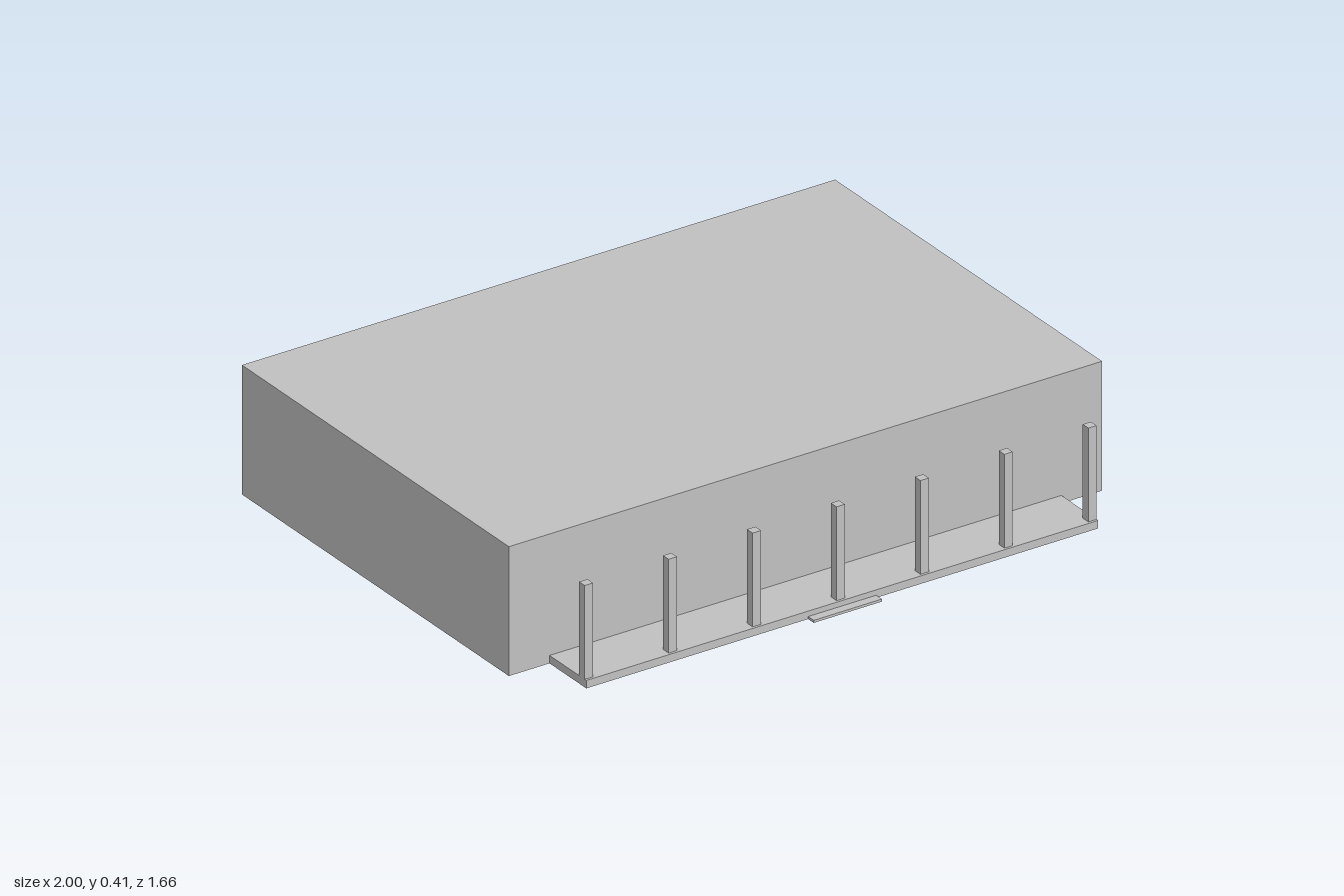
import * as THREE from 'three';

export function createModel() {
  const model = new THREE.Group();
  model.name = 'porchBuilding';
  const grey = new THREE.MeshStandardMaterial({ color: 0xc0c0c0 });
  grey.name = 'light grey';

  // Box given by its limits along each axis
  function block(name, [x0, x1], [y0, y1], [z0, z1]) {
    const mesh = new THREE.Mesh(new THREE.BoxGeometry(x1 - x0, y1 - y0, z1 - z0), grey);
    mesh.position.set((x0 + x1) / 2, (y0 + y1) / 2, (z0 + z1) / 2);
    mesh.name = name;
    model.add(mesh);
  }

  // Main hall
  block('hall', [-1, 1], [0, 0.407], [-0.708, 0.62]);

  // Front porch with a low step
  block('porchFloor', [-0.863, 0.863], [0, 0.025], [0.62, 0.803]);
  block('frontStep', [-0.115, 0.115], [0, 0.008], [0.803, 0.831]);

  // Row of square porch posts
  for (let i = -3; i <= 3; i++) {
    const x = i * 0.283;
    block('porchPost', [x - 0.014, x + 0.014], [0, 0.32], [0.767, 0.795]);
  }

  // Back landing with a low step
  block('backLanding', [-0.817, -0.688], [0, 0.025], [-0.806, -0.708]);
  block('backStep', [-0.808, -0.695], [0, 0.01], [-0.831, -0.806]);

  return model;
}
